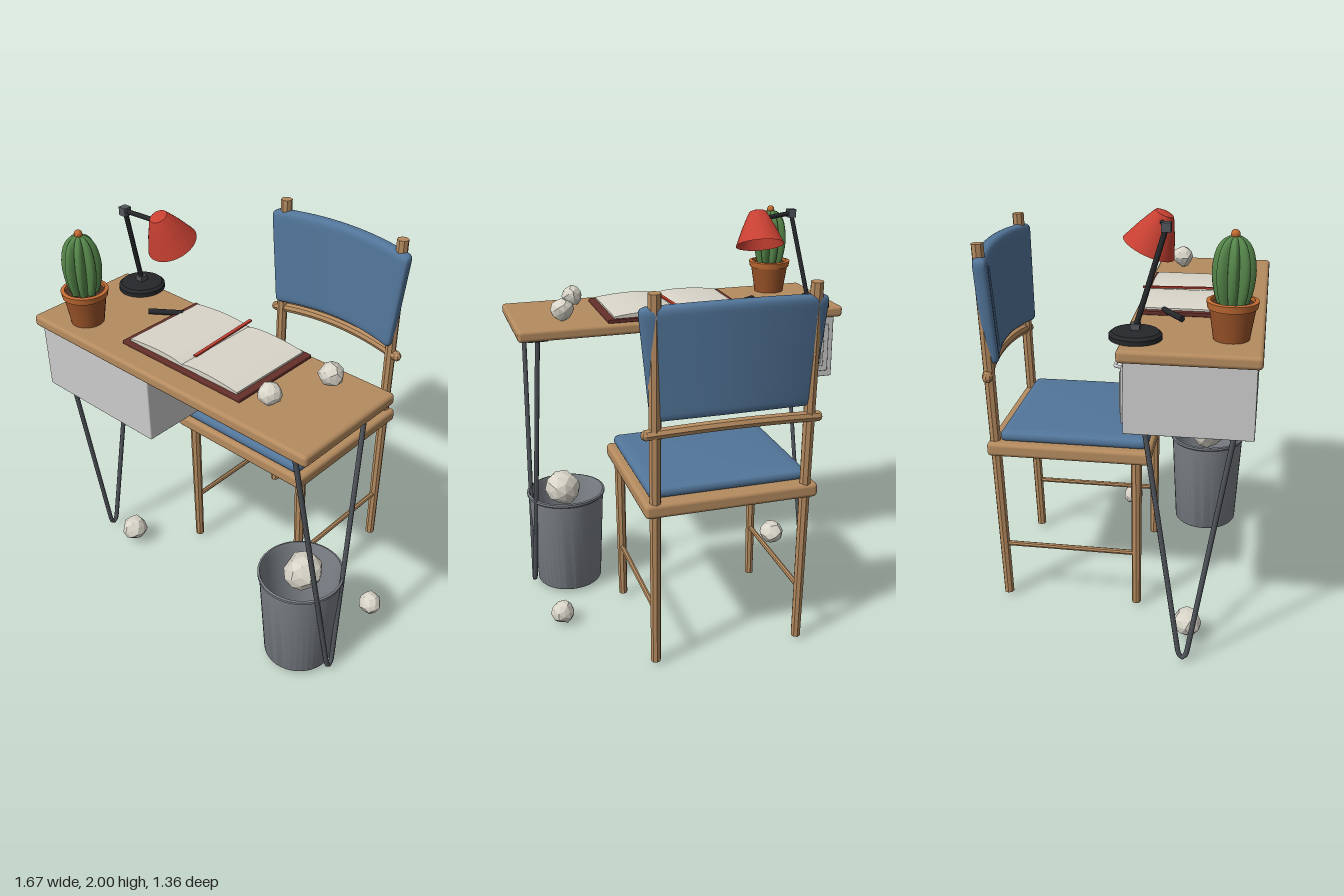
import * as THREE from 'three';
import { mergeVertices, toCreasedNormals } from 'three/addons/utils/BufferGeometryUtils.js';
import { RoundedBoxGeometry } from 'three/addons/geometries/RoundedBoxGeometry.js';

const V = (x, y, z) => new THREE.Vector3(x, y, z);
const mat = (color, extra = {}) => new THREE.MeshStandardMaterial({ color, ...extra });
const wood = mat(0xb58b5f), woodFlat = mat(0xb58b5f, { flatShading: true });
const blue = mat(0x527599), steel = mat(0x50555b), grey = mat(0xcccccc);
const black = mat(0x25272a), red = mat(0xc74032, { side: THREE.DoubleSide });
const paper = mat(0xd9d5c9), crumpled = mat(0xd9d5c9, { flatShading: true });

function add(parent, name, geometry, material, x = 0, y = 0, z = 0) {
  const mesh = new THREE.Mesh(geometry, material);
  mesh.name = name;
  mesh.position.set(x, y, z);
  parent.add(mesh);
  return mesh;
}

function group(parent, name, x = 0, y = 0, z = 0) {
  const g = new THREE.Group();
  g.name = name;
  g.position.set(x, y, z);
  parent.add(g);
  return g;
}

// Rounded block given by its min and max corners
function block(parent, name, material, x0, x1, y0, y1, z0, z1, r = 0.004) {
  return add(parent, name, new RoundedBoxGeometry(x1 - x0, y1 - y0, z1 - z0, 2, r), material,
    (x0 + x1) / 2, (y0 + y1) / 2, (z0 + z1) / 2);
}

// Round bar from a to b
function rod(parent, name, material, a, b, ra, rb = ra, sides = 8) {
  const mesh = add(parent, name, new THREE.CylinderGeometry(rb, ra, a.distanceTo(b), sides), material);
  mesh.position.copy(a).add(b).multiplyScalar(0.5);
  mesh.quaternion.setFromUnitVectors(V(0, 1, 0), b.clone().sub(a).normalize());
  return mesh;
}

function lathe(profile, segments = 32) {
  const g = new THREE.LatheGeometry(profile.map(([x, y]) => new THREE.Vector2(x, y)), segments);
  return toCreasedNormals(g, 0.6);
}

// Finely divided soft block, reshaped by a rule on each vertex
function padded(w, h, d, r, seg, rule) {
  const g = new THREE.BoxGeometry(w, h, d, ...seg);
  g.deleteAttribute('uv');
  g.deleteAttribute('normal');
  const inner = V(w / 2 - r, h / 2 - r, d / 2 - r), p = V(0, 0, 0);
  const pos = g.attributes.position;
  for (let i = 0; i < pos.count; i++) {
    p.fromBufferAttribute(pos, i);
    const c = p.clone().clamp(inner.clone().negate(), inner);
    p.sub(c);
    if (p.length() > 0) p.setLength(r);
    p.add(c);
    rule(p);
    pos.setXYZ(i, p.x, p.y, p.z);
  }
  const merged = mergeVertices(g, 1e-5);
  merged.computeVertexNormals();
  return merged;
}

function buildDesk(root) {
  const desk = group(root, 'desk');
  block(desk, 'deskTop', wood, -0.837, 0.835, 1.453, 1.51, 0.075, 0.672, 0.018);

  // Drawer unit, opening towards the chair
  block(desk, 'drawerBody', grey, -0.80, -0.08, 1.13, 1.453, 0.1, 0.652, 0.006);
  block(desk, 'drawerFront', grey, -0.77, -0.11, 1.165, 1.415, 0.088, 0.11);
  const frame = group(desk, 'drawerFrame');
  for (const [y0, y1] of [[1.195, 1.21], [1.37, 1.385]]) block(frame, 'frameRail', grey, -0.74, -0.14, y0, y1, 0.078, 0.1);
  for (const x of [-0.74, -0.155]) block(frame, 'frameStile', grey, x, x + 0.015, 1.195, 1.385, 0.078, 0.1);
  const grip = new THREE.CatmullRomCurve3([V(-0.56, 1.343, 0.09), V(-0.56, 1.343, 0.045), V(-0.545, 1.343, 0.03),
    V(-0.33, 1.343, 0.03), V(-0.315, 1.343, 0.045), V(-0.315, 1.343, 0.09)], false, 'catmullrom', 0.1);
  add(desk, 'drawerHandle', new THREE.TubeGeometry(grip, 48, 0.008, 8), grey);

  // Hairpin legs
  for (const s of [-1, 1]) {
    const path = new THREE.CurvePath();
    const t0 = V(s * 0.735, 1.45, 0.618), b0 = V(s * 0.79, 0.07, 0.397);
    const b1 = V(s * 0.79, 0.07, 0.353), t1 = V(s * 0.735, 1.45, 0.138);
    path.add(new THREE.LineCurve3(t0, b0));
    path.add(new THREE.CubicBezierCurve3(b0, V(s * 0.793, 0.017, 0.388), V(s * 0.793, 0.017, 0.362), b1));
    path.add(new THREE.LineCurve3(b1, t1));
    add(desk, 'hairpinLeg', new THREE.TubeGeometry(path, 160, 0.012, 8), steel);
    block(desk, 'legPlate', steel, s * 0.735 - 0.05, s * 0.735 + 0.05, 1.44, 1.456, 0.12, 0.635);
  }
}

function buildChair(root) {
  const chair = group(root, 'chair');
  block(chair, 'seat', wood, -0.415, 0.412, 0.797, 0.866, -0.618, 0.172, 0.02);
  add(chair, 'seatCushion', padded(0.764, 0.055, 0.715, 0.027, [28, 6, 28], (p) => {
    if (p.y > 0) p.y += 0.012 * (1 - (p.x / 0.382) ** 2) * (1 - (p.z / 0.358) ** 2);
  }), blue, -0.002, 0.89, -0.202);

  for (const s of [-1, 1]) {
    const x = s * 0.36;
    rod(chair, 'frontLeg', woodFlat, V(x, 0.022, 0.103), V(x, 0.82, 0.1), 0.022, 0.027);
    rod(chair, 'rearPost', woodFlat, V(x, 0.022, -0.553), V(x, 1.82, -0.623), 0.024, 0.03);
    rod(chair, 'sideStretcher', woodFlat, V(x, 0.3, 0.1), V(x, 0.3, -0.56), 0.013);
  }

  // Curved rail below the backrest
  const rail = new THREE.QuadraticBezierCurve3(V(-0.4, 1.195, -0.598), V(0, 1.243, -0.675), V(0.4, 1.195, -0.598));
  add(chair, 'backRail', new THREE.TubeGeometry(rail, 24, 0.026, 8), woodFlat);
  for (const t of [0, 1]) {
    const cap = add(chair, 'railEnd', new THREE.SphereGeometry(0.025, 8, 6), woodFlat);
    cap.position.copy(rail.getPoint(t));
  }

  // Backrest: wider at the top and bowed backwards
  add(chair, 'backrest', padded(0.8, 0.51, 0.07, 0.028, [32, 28, 6], (p) => {
    const bow = 1 - (p.x / 0.4) ** 2;
    p.x *= 1 + 0.065 * (p.y / 0.255);
    p.y += 0.018 * bow;
    p.z -= 0.048 * bow + 0.012 * (p.y / 0.255);
  }), blue, 0, 1.503, -0.59);
}

function buildLamp(root) {
  const lamp = group(root, 'lamp');
  add(lamp, 'lampBase', lathe([[0, 0], [0.113, 0], [0.113, 0.02], [0.1, 0.032], [0.03, 0.04], [0, 0.04]]), black, -0.66, 1.51, 0.135);
  const foot = V(-0.66, 1.555, 0.135), elbow = V(-0.603, 1.97, 0.252);
  const axis = V(-0.06, 0.9, 0.4).normalize(), rim = V(-0.4, 1.835, 0.155);
  const neck = rim.clone().addScaledVector(axis, 0.13);
  rod(lamp, 'lowerArm', black, foot, elbow, 0.012);
  rod(lamp, 'upperArm', black, elbow, neck, 0.012);
  for (const p of [foot, elbow]) add(lamp, 'armJoint', new THREE.BoxGeometry(0.04, 0.04, 0.04), steel, p.x, p.y, p.z);
  const shade = add(lamp, 'lampShade', lathe([[0.121, 0], [0.085, 0.085], [0.05, 0.155], [0.042, 0.168], [0.022, 0.175], [0, 0.176]]), red);
  shade.position.copy(rim);
  shade.quaternion.setFromUnitVectors(V(0, 1, 0), axis);
  add(lamp, 'bulb', new THREE.SphereGeometry(0.04, 16, 12), paper).position.copy(rim).addScaledVector(axis, 0.07);
}

function buildCactus(root) {
  const plant = group(root, 'pottedCactus', -0.605, 1.51, 0.532);
  add(plant, 'pot', lathe([[0, 0], [0.077, 0], [0.098, 0.135], [0, 0.135]]), mat(0x9c5429));
  add(plant, 'potRim', lathe([[0.09, 0.135], [0.105, 0.135], [0.11, 0.165], [0.092, 0.168], [0.09, 0.15]]), mat(0xc36c33));
  add(plant, 'soil', new THREE.CylinderGeometry(0.093, 0.093, 0.02, 24), mat(0x4a3222), 0, 0.143, 0);
  const profile = [[0.06, 0.14], [0.078, 0.2], [0.087, 0.27], [0.084, 0.33], [0.07, 0.385], [0.045, 0.42], [0.02, 0.432], [0, 0.433]];
  const g = new THREE.LatheGeometry(new THREE.SplineCurve(profile.map((p) => new THREE.Vector2(...p))).getPoints(18), 64);
  const pos = g.attributes.position;
  for (let i = 0; i < pos.count; i++) {
    const x = pos.getX(i), z = pos.getZ(i);
    const rib = 0.72 + 0.32 * Math.abs(Math.cos(4 * Math.atan2(z, x)));
    pos.setXYZ(i, x * rib, pos.getY(i), z * rib);
  }
  add(plant, 'cactus', toCreasedNormals(g, 0.7), mat(0x55864a));
  add(plant, 'cactusBud', new THREE.SphereGeometry(0.02, 10, 8), mat(0xc36c33), 0, 0.44, 0);
}

function buildBook(root) {
  const book = group(root, 'openBook');
  block(book, 'bookCover', mat(0x66302a), -0.322, 0.396, 1.51, 1.528, 0.095, 0.568);
  // Two page stacks arching away from the gutter
  const s = new THREE.Shape();
  s.moveTo(-0.292, 1.527);
  s.lineTo(0.362, 1.527);
  s.lineTo(0.362, 1.537);
  s.bezierCurveTo(0.25, 1.555, 0.09, 1.56, 0.035, 1.537);
  s.bezierCurveTo(-0.02, 1.56, -0.18, 1.555, -0.292, 1.537);
  s.closePath();
  add(book, 'pages', new THREE.ExtrudeGeometry(s, { depth: 0.433, bevelEnabled: false, curveSegments: 16 }), paper, 0, 0, 0.113);
  const ribbon = add(book, 'bookmark', new THREE.BoxGeometry(0.016, 0.008, 0.395), red, 0.03, 1.549, 0.272);
  ribbon.rotation.y = 0.068;
  rod(root, 'pen', black, V(-0.425, 1.53, 0.308), V(-0.29, 1.53, 0.213), 0.014, 0.014, 10);
}

function buildBin(root) {
  add(root, 'wasteBin', lathe([[0, 0.022], [0.165, 0.022], [0.171, 0.03], [0.198, 0.52], [0.206, 0.528], [0.206, 0.54],
    [0.196, 0.543], [0.19, 0.525], [0.162, 0.035], [0, 0.035]], 40), mat(0x7b8086), 0.597, 0, 0.375);
}

// Crumpled paper balls
function buildBalls(root) {
  let seed = 7;
  const rand = () => (seed = (seed * 16807) % 2147483647) / 2147483647;
  const balls = [[0.612, 0.553, 0.375, 0.093], [0.495, 1.567, 0.493, 0.053], [0.596, 1.569, 0.214, 0.056],
    [-0.605, 0.097, 0.375, 0.069], [0.716, 0.064, -0.066, 0.059]];
  for (const [x, y, z, r] of balls) {
    const g = new THREE.IcosahedronGeometry(r, 1);
    g.deleteAttribute('uv');
    g.deleteAttribute('normal');
    const ball = mergeVertices(g, 1e-4), pos = ball.attributes.position, p = V(0, 0, 0);
    for (let i = 0; i < pos.count; i++) {
      p.fromBufferAttribute(pos, i).multiplyScalar(0.88 + 0.18 * rand());
      pos.setXYZ(i, p.x, p.y, p.z);
    }
    ball.computeVertexNormals();
    add(root, 'paperBall', ball, crumpled, x, y, z);
  }
}

export function createModel() {
  const root = new THREE.Group();
  root.name = 'studyDeskSet';
  for (const build of [buildDesk, buildChair, buildLamp, buildCactus, buildBook, buildBin, buildBalls]) build(root);
  return root;
}
